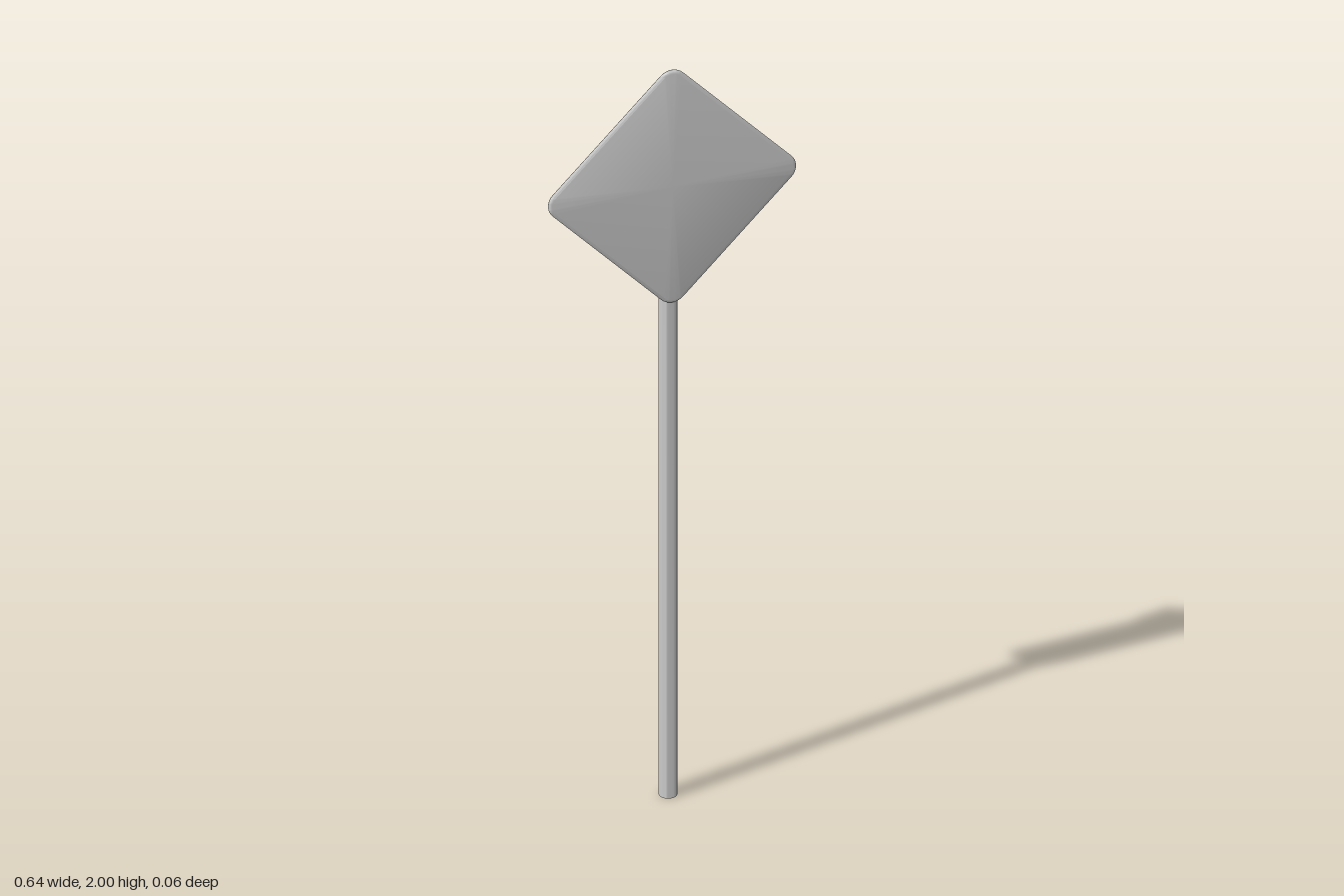
import * as THREE from 'three';
import { toCreasedNormals } from 'three/addons/utils/BufferGeometryUtils.js';

const material = new THREE.MeshStandardMaterial({ color: 0xcccccc });
const POLE_Z = -0.006;
const POLE_R = 0.0225;

function part(name, geometry, x = 0, y = 0, z = 0) {
  const mesh = new THREE.Mesh(geometry, material);
  mesh.name = name;
  mesh.position.set(x, y, z);
  return mesh;
}

// Rounded square outline standing on one corner, shrunk by an inset
function diamondLoop(inset) {
  const core = 0.197, r = 0.04 - inset, steps = 8, points = [];
  for (let c = 0; c < 4; c++) {
    const mid = c * Math.PI / 2;
    for (let i = 0; i <= steps; i++) {
      const a = mid + (i / steps - 0.5) * Math.PI / 2;
      points.push([
        core * Math.SQRT2 * Math.cos(mid) + r * Math.cos(a),
        core * Math.SQRT2 * Math.sin(mid) + r * Math.sin(a),
      ]);
    }
  }
  return points;
}

// Sign plate: rounded edge, raised rim round a slightly recessed back
function plateGeometry() {
  // [inset, z] from front face round to back face
  const section = [
    [0.009, 0.029], [0.004, 0.028], [0.001, 0.0257], [0, 0.023],
    [0.001, 0.0203], [0.004, 0.018], [0.008, 0.017], [0.013, 0.017], [0.015, 0.02],
  ];
  const positions = [0, 0, section[0][1]], index = [];
  const n = diamondLoop(0).length;
  for (const [inset, z] of section) {
    for (const [x, y] of diamondLoop(inset)) positions.push(x, y, z);
  }
  const back = positions.length / 3;
  positions.push(0, 0, section[section.length - 1][1]);
  const last = 1 + (section.length - 1) * n;
  for (let i = 0; i < n; i++) {
    const j = (i + 1) % n;
    index.push(0, 1 + i, 1 + j);
    index.push(back, last + j, last + i);
    for (let s = 0; s < section.length - 1; s++) {
      const a = 1 + s * n, b = a + n;
      index.push(a + i, b + i, b + j, a + i, b + j, a + j);
    }
  }
  const geometry = new THREE.BufferGeometry();
  geometry.setAttribute('position', new THREE.Float32BufferAttribute(positions, 3));
  geometry.setIndex(index);
  return toCreasedNormals(geometry, 0.6);
}

// Open steel tube
function poleGeometry() {
  const inner = POLE_R - 0.002, top = 1.83;
  const profile = [[inner, 0], [POLE_R, 0], [POLE_R, top], [inner, top], [inner, 0]];
  const geometry = new THREE.LatheGeometry(profile.map(([r, y]) => new THREE.Vector2(r, y)), 32);
  return toCreasedNormals(geometry, 0.6);
}

// Half clamp: a strip with an arc in the middle and a flat ear at each end
function strapGeometry(height) {
  const half = 0.002, path = [[0.061, 0.0075], [0.037, 0.0075], [0.032, 0.0083], [0.028, 0.0105]];
  const r = POLE_R + half;
  const start = 0.62, steps = 16;
  const flare = path.map(([x, y]) => [-x, y]).reverse();
  for (let i = 0; i <= steps; i++) {
    const a = start + (Math.PI - 2 * start) * i / steps;
    path.push([r * Math.cos(a), r * Math.sin(a)]);
  }
  path.push(...flare);
  const offset = (side) => path.map(([x, y], i) => {
    const p = path[Math.max(i - 1, 0)], q = path[Math.min(i + 1, path.length - 1)];
    const dx = q[0] - p[0], dy = q[1] - p[1], l = Math.hypot(dx, dy);
    return new THREE.Vector2(x + side * dy / l, y - side * dx / l);
  });
  const shape = new THREE.Shape([...offset(half), ...offset(-half).reverse()]);
  const geometry = new THREE.ExtrudeGeometry(shape, { depth: height, bevelEnabled: false });
  geometry.translate(0, 0, -height / 2);
  geometry.rotateX(-Math.PI / 2); // outward side of the arc now points to -z
  return toCreasedNormals(geometry, 0.6);
}

function createClamp(name, y) {
  const clamp = new THREE.Group();
  clamp.name = name;
  clamp.position.set(0, y, POLE_Z);
  const strap = strapGeometry(0.022);
  const frontStrap = part('clampFrontStrap', strap);
  frontStrap.rotation.y = Math.PI;
  clamp.add(part('clampBackStrap', strap), frontStrap);

  // Bolts through the ears, with hexagonal head and nut
  const shank = new THREE.CylinderGeometry(0.003, 0.003, 0.026, 12).rotateX(Math.PI / 2);
  const hex = toCreasedNormals(new THREE.CylinderGeometry(0.0075, 0.0075, 0.004, 6).rotateX(Math.PI / 2), 0.5);
  for (const side of [-1, 1]) {
    const x = side * 0.051;
    clamp.add(
      part('boltShank', shank, x),
      part('boltHead', hex, x, 0, -0.0113),
      part('boltNut', hex, x, 0, 0.0113),
    );
  }
  return clamp;
}

export function createModel() {
  const model = new THREE.Group();
  model.name = 'roadSign';
  model.add(
    part('pole', poleGeometry(), 0, 0, POLE_Z),
    part('signPlate', plateGeometry(), 0, 1.682, 0),
    createClamp('upperClamp', 1.807),
    createClamp('lowerClamp', 1.534),
  );
  return model;
}
